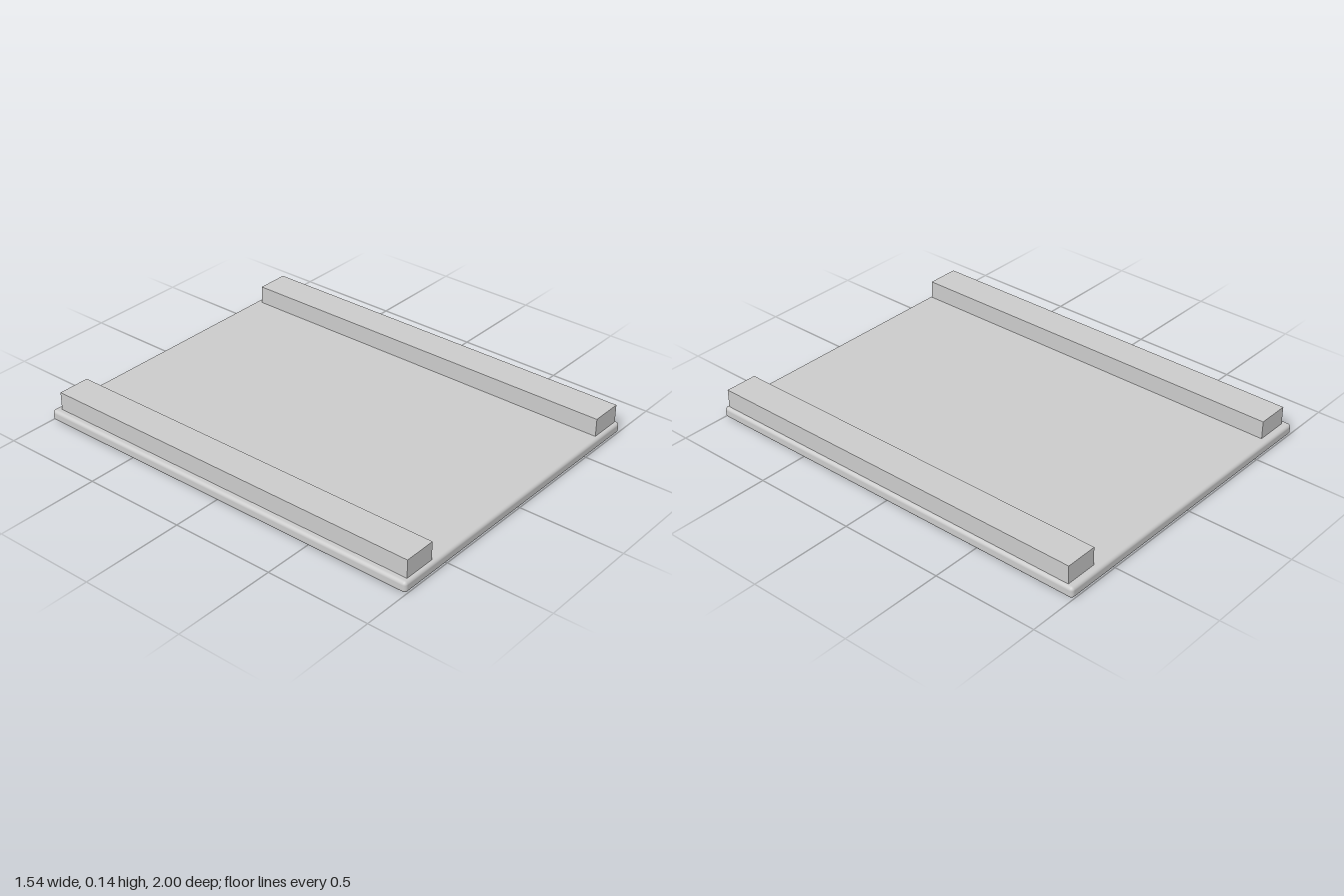
import * as THREE from 'three';
import { RoundedBoxGeometry } from 'three/addons/geometries/RoundedBoxGeometry.js';

export function createModel() {
  const model = new THREE.Group();
  model.name = 'railedPlate';
  const material = new THREE.MeshStandardMaterial({ color: 0xcccccc });

  const add = (name, geometry, x, y, z) => {
    const mesh = new THREE.Mesh(geometry, material);
    mesh.name = name;
    mesh.position.set(x, y, z);
    model.add(mesh);
  };

  // Thin base plate with softened edges
  const plateHeight = 0.053;
  add('basePlate', new RoundedBoxGeometry(1.54, plateHeight, 2, 3, 0.016), 0, plateHeight / 2, 0);

  // Two square-edged rails along the long sides
  const railTop = 0.14;
  const railBottom = 0.05;
  const railHeight = railTop - railBottom;
  for (const [name, x] of [['rightRail', -0.66], ['leftRail', 0.675]]) {
    add(name, new THREE.BoxGeometry(0.158, railHeight, 1.95), x, railBottom + railHeight / 2, 0.008);
  }

  return model;
}
